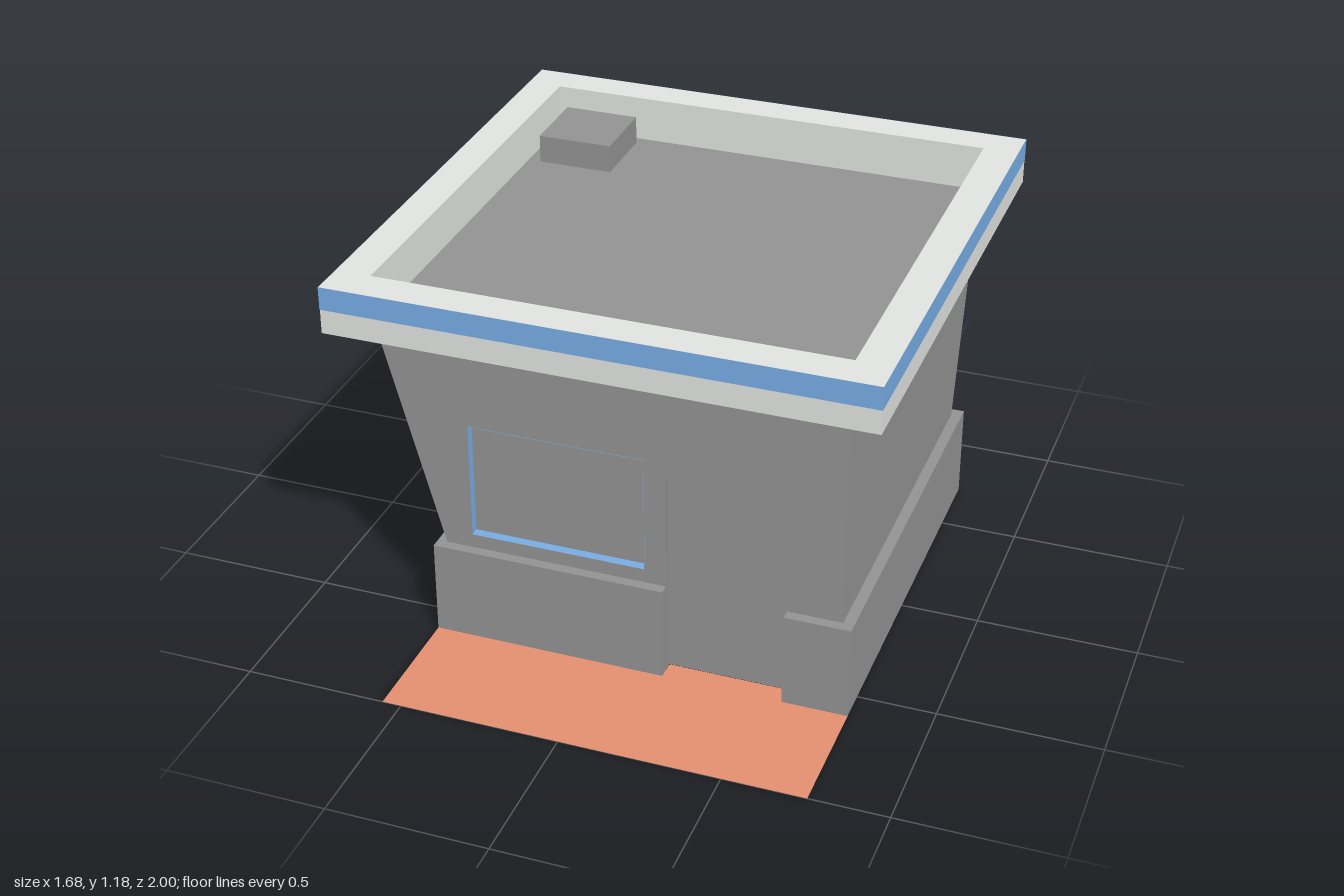
import * as THREE from 'three';

const mat = (name, color, side = THREE.FrontSide) => {
  const m = new THREE.MeshStandardMaterial({ color, side });
  m.name = name;
  return m;
};

const rect = (x0, x1, y0, y1) => [[x0, y0], [x1, y0], [x1, y1], [x0, y1]];

// Points as vectors, always counterclockwise so hole walls face the right way
function path(pts) {
  const v = pts.map(([x, y]) => new THREE.Vector2(x, y));
  return THREE.ShapeUtils.isClockWise(v) ? v.reverse() : v;
}

// Extruded outline with optional holes, growing along +z
function extrude(outline, holes, depth) {
  const shape = new THREE.Shape(path(outline));
  holes.forEach((h) => shape.holes.push(new THREE.Path(path(h))));
  return new THREE.ExtrudeGeometry(shape, { depth, bevelEnabled: false });
}

// Floor plan given as [x, z] points, raised from y0 by height
function slab(outline, holes, y0, height) {
  const flip = (pts) => pts.map(([x, z]) => [x, -z]);
  return extrude(flip(outline), holes.map(flip), height).rotateX(-Math.PI / 2).translate(0, y0, 0);
}

// Flat-shaded four-cornered faces, corners counterclockwise from outside
function quads(faces) {
  const pos = faces.flatMap(([a, b, c, d]) => [a, b, c, a, c, d].flat());
  const g = new THREE.BufferGeometry();
  g.setAttribute('position', new THREE.Float32BufferAttribute(pos, 3));
  g.computeVertexNormals();
  return g;
}

// Open band of faces joining two matching loops of points
function band(lower, upper) {
  return quads(lower.map((p, i) => {
    const j = (i + 1) % lower.length;
    return [p, lower[j], upper[j], upper[i]];
  }));
}

export function createModel() {
  const model = new THREE.Group();
  model.name = 'kiosk';
  const wall = mat('wall grey', 0x939393);
  const trim = mat('light grey', 0xe0e3e0);
  const blue = mat('trim blue', 0x77ace4, THREE.DoubleSide);
  const paving = mat('terracotta', 0xe38e6f, THREE.DoubleSide);

  const add = (name, geometry, material) => {
    const mesh = new THREE.Mesh(geometry, material);
    mesh.name = name;
    model.add(mesh);
  };

  const R = 0.723, F = 0.567, IN = 0.537;      // right wall, front wall, recess depth
  const BL = -0.53, BB = -0.685, BY = 0.305;   // left, back and height at plinth top
  const TL = -0.727, TB = -0.884, TY = 1.03;   // left, back and height at roof
  const D0 = 0.177, D1 = 0.553, DY = 0.682;    // door opening
  const W0 = -0.445, W1 = 0.11, WY0 = 0.35, WY1 = 0.73; // window opening

  // Front wall with door notch and window hole
  add('frontWall', extrude(
    [[BL, 0.002], [D0, 0.002], [D0, DY], [D1, DY], [D1, 0.002], [R, 0.002], [R, TY], [TL, TY], [BL, BY]],
    [rect(W0, W1, WY0, WY1)], F - IN).translate(0, 0, IN), wall);

  // Side walls and back wall, leaning out on the left and at the back
  add('sideAndBackWalls', quads([
    [[R, BY, IN], [R, BY, BB], [R, TY, TB], [R, TY, IN]],
    [[R, BY, BB], [BL, BY, BB], [TL, TY, TB], [R, TY, TB]],
    [[BL, BY, BB], [BL, BY, IN], [TL, TY, IN], [TL, TY, TB]],
  ]), wall);

  // Recessed door and window panels
  const panel = (x0, x1, y0, y1) =>
    new THREE.PlaneGeometry(x1 - x0, y1 - y0).translate((x0 + x1) / 2, (y0 + y1) / 2, IN + 0.001);
  add('door', panel(D0, D1, 0.002, DY), wall);
  add('windowPane', panel(W0, W1, WY0, WY1), wall);

  // Blue lining of the window reveal
  const e = 0.001;
  const opening = rect(W0 + e, W1 - e, WY0 + e, WY1 - e);
  add('windowReveal', band(opening.map(([x, y]) => [x, y, F]), opening.map(([x, y]) => [x, y, IN])), blue);

  // Plinth wrapping the walls, open at the door
  const PL = -0.56, PR = 0.757, PF = 0.6, PB = -0.72;
  add('plinth', slab([
    [D0, PF], [PL, PF], [PL, PB], [PR, PB], [PR, PF], [D1, PF],
    [D1, F], [R, F], [R, BB], [BL, BB], [BL, F], [D0, F],
  ], [], 0, BY), wall);

  // Underside floor, and flat paving in front and in the doorway
  add('floor', slab(rect(BL, R, BB, IN), [], 0.001, 0.001), trim);
  const paved = (x0, x1, z0, z1) => [[x0, 0, z1], [x1, 0, z1], [x1, 0, z0], [x0, 0, z0]];
  add('forecourt', quads([paved(PL, PR, PF, 1), paved(D0, D1, IN, PF)]), paving);

  // Parapet, roof deck filling it and rooftop unit
  const X = 0.839, Z0 = -0.999, Z1 = 0.681, TOP = 1.18;
  const well = rect(-0.729, 0.727, -0.887, 0.567);
  add('parapet', slab(rect(-X, X, Z0, Z1), [well], TY, TOP - TY), trim);
  add('roofDeck', slab(well, [], TY, 0.003), wall);
  add('rooftopUnit', new THREE.BoxGeometry(0.245, 0.095, 0.245).translate(-0.565, TY + 0.0475, -0.73), wall);

  // Blue stripe around the upper half of the parapet
  const ring = (y) => [[-X - e, y, Z1 + e], [X + e, y, Z1 + e], [X + e, y, Z0 - e], [-X - e, y, Z0 - e]];
  add('parapetStripe', band(ring(1.107), ring(TOP)), blue);

  return model;
}
